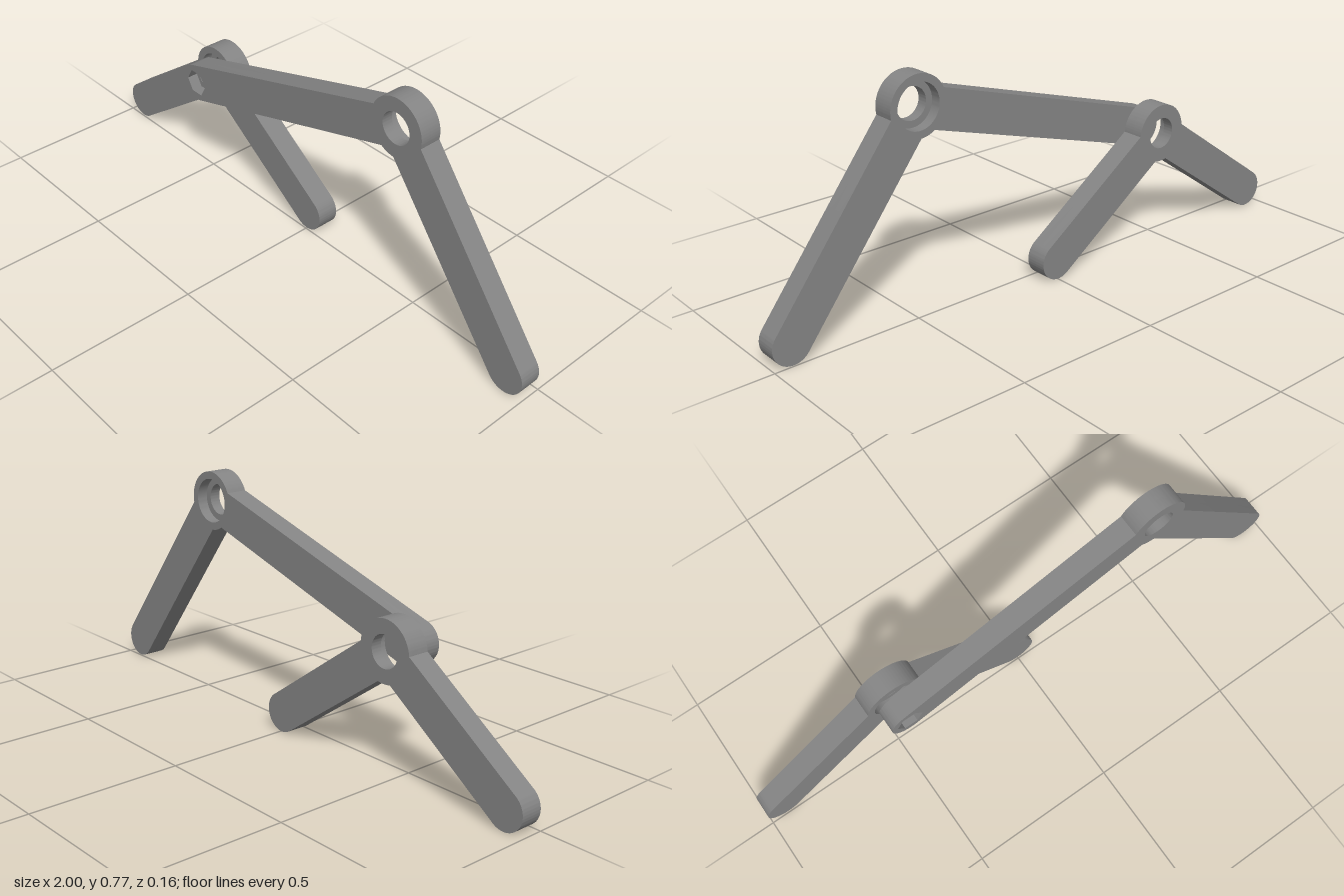
import * as THREE from 'three';
import { toCreasedNormals } from 'three/addons/utils/BufferGeometryUtils.js';

const RING = 0.1, ARM = 0.065, BORE = 0.053, COUNTERBORE = 0.075;
const HALF = 0.0375; // half the thickness of a link

// Outline of a ring with rounded arms; arm ends are listed counter-clockwise
function linkShape(hub, ends) {
  const shape = new THREE.Shape();
  const gap = Math.asin(ARM / RING);
  const dirs = ends.map((e) => Math.atan2(e[1] - hub[1], e[0] - hub[0]));
  ends.forEach((e, i) => {
    const d = dirs[i], next = dirs[(i + 1) % ends.length];
    shape.absarc(e[0], e[1], ARM, d - Math.PI / 2, d + Math.PI / 2, false);
    shape.absarc(hub[0], hub[1], RING, d + gap, next - gap, false);
  });
  shape.closePath();
  return shape;
}

function roundHole([x, y], r) {
  return new THREE.Path().absarc(x, y, r, 0, Math.PI * 2, true);
}

function hexHole([x, y], r) {
  const points = [];
  for (let i = 0; i < 6; i++) {
    const a = -i * Math.PI / 3;
    points.push(new THREE.Vector2(x + r * Math.cos(a), y + r * Math.sin(a)));
  }
  return new THREE.Path(points);
}

// One half-thickness layer, so that holes can be stepped
function layer(name, hub, ends, holes, z, material) {
  const shape = linkShape(hub, ends);
  shape.holes.push(...holes);
  const geometry = new THREE.ExtrudeGeometry(shape, { depth: HALF, bevelEnabled: false, curveSegments: 32 });
  geometry.translate(0, 0, z);
  const mesh = new THREE.Mesh(toCreasedNormals(geometry, 0.5), material);
  mesh.name = name;
  return mesh;
}

export function createModel() {
  const model = new THREE.Group();
  model.name = 'hingedLinks';
  const grey = new THREE.MeshStandardMaterial({ color: 0x848484 });
  grey.name = 'grey';

  // Short rear link: two equal legs under a ring, counterbored on its front
  const pivot = [-0.467, 0.396];
  const rearEnds = [[-0.935, 0.067], [-0.003, 0.067]];
  const rear = new THREE.Group();
  rear.name = 'rearLink';
  rear.add(
    layer('rearLinkBack', pivot, rearEnds, [roundHole(pivot, BORE)], -0.08, grey),
    layer('rearLinkFront', pivot, rearEnds, [roundHole(pivot, COUNTERBORE)], -0.0425, grey),
  );

  // Long front link: counterbored ring at the back, hex pocket at the arm tip
  const elbow = [0.467, 0.677];
  const frontEnds = [pivot, [0.935, 0.067]];
  const front = new THREE.Group();
  front.name = 'frontLink';
  front.add(
    layer('frontLinkBack', elbow, frontEnds,
      [roundHole(elbow, COUNTERBORE), roundHole(pivot, 0.027)], 0.005, grey),
    layer('frontLinkFront', elbow, frontEnds,
      [roundHole(elbow, BORE), hexHole(pivot, 0.046)], 0.0425, grey),
  );

  model.add(rear, front);
  return model;
}
